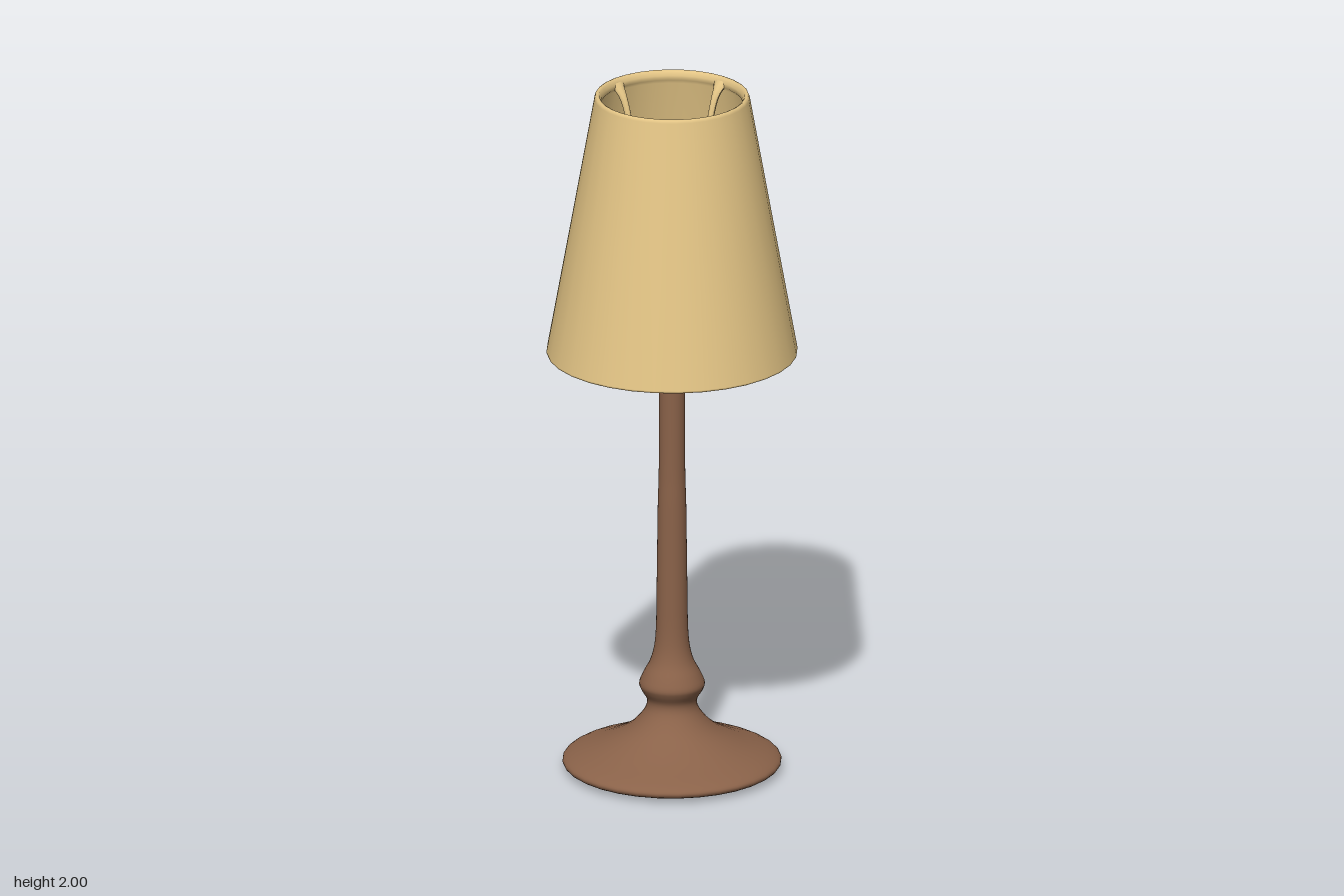
import * as THREE from 'three';

const wood = new THREE.MeshStandardMaterial({ color: 0x8a6249 });
const cloth = new THREE.MeshStandardMaterial({ color: 0xe6c787, side: THREE.DoubleSide });
const grey = new THREE.MeshStandardMaterial({ color: 0xcccccc });

function part(name, geometry, material) {
  const mesh = new THREE.Mesh(geometry, material);
  mesh.name = name;
  return mesh;
}

const toPoints = (list) => list.map(([r, y]) => new THREE.Vector2(r, y));

export function createModel() {
  const lamp = new THREE.Group();
  lamp.name = 'tableLamp';

  // Turned foot, knob and stem in one smooth profile
  const curve = new THREE.SplineCurve(toPoints([
    [0.2, 0.003], [0.285, 0.01], [0.307, 0.026], [0.285, 0.045], [0.2, 0.079], [0.125, 0.121],
    [0.08, 0.17], [0.07, 0.205], [0.086, 0.235], [0.092, 0.255], [0.08, 0.285], [0.058, 0.33],
    [0.046, 0.4], [0.043, 0.55], [0.04, 0.78], [0.037, 0.9], [0.037, 1.2], [0.037, 1.5],
  ]));
  const profile = [...toPoints([[0, 0], [0.2, 0], [0.2, 0]]), ...curve.getPoints(68), ...toPoints([[0, 1.5]])];
  lamp.add(part('baseAndStem', new THREE.LatheGeometry(profile, 32), wood));

  // Tapered shade with a thin wall and a rounded lip at the top
  const shade = toPoints([
    [0.347, 1.235], [0.351, 1.237], [0.352, 1.242], [0.284, 1.62], [0.218, 1.99], [0.215, 1.998],
    [0.21, 2], [0.204, 1.997], [0.199, 1.985], [0.199, 1.972], [0.21, 1.96],
    [0.274, 1.62], [0.341, 1.242], [0.342, 1.237], [0.347, 1.235],
  ]);
  lamp.add(part('shade', new THREE.LatheGeometry(shade, 32), cloth));

  // Four curved arms from the stem up to the lip, flared where they meet it
  const path = new THREE.CatmullRomCurve3([
    [0.02, 1.48], [0.07, 1.53], [0.115, 1.67], [0.135, 1.77], [0.16, 1.88], [0.182, 1.95], [0.205, 1.985],
  ].map(([x, y]) => new THREE.Vector3(x, y, 0)));
  const arm = new THREE.TubeGeometry(path, 32, 0.009, 10);
  const pos = arm.attributes.position;
  for (let i = 0; i < pos.count; i++) {
    const flare = Math.max(0, (pos.getX(i) - 0.165) / 0.04);
    pos.setZ(i, pos.getZ(i) * (1 + 1.8 * flare * flare));
  }
  arm.computeVertexNormals();
  for (let i = 0; i < 4; i++) {
    const mesh = part('shadeArm' + (i + 1), arm, cloth);
    mesh.rotation.y = (i * Math.PI) / 2;
    lamp.add(mesh);
  }

  // Round bulb on top of the stem
  const bulb = part('bulb', new THREE.SphereGeometry(0.093, 32, 20), grey);
  bulb.position.y = 1.58;
  lamp.add(bulb);

  return lamp;
}
